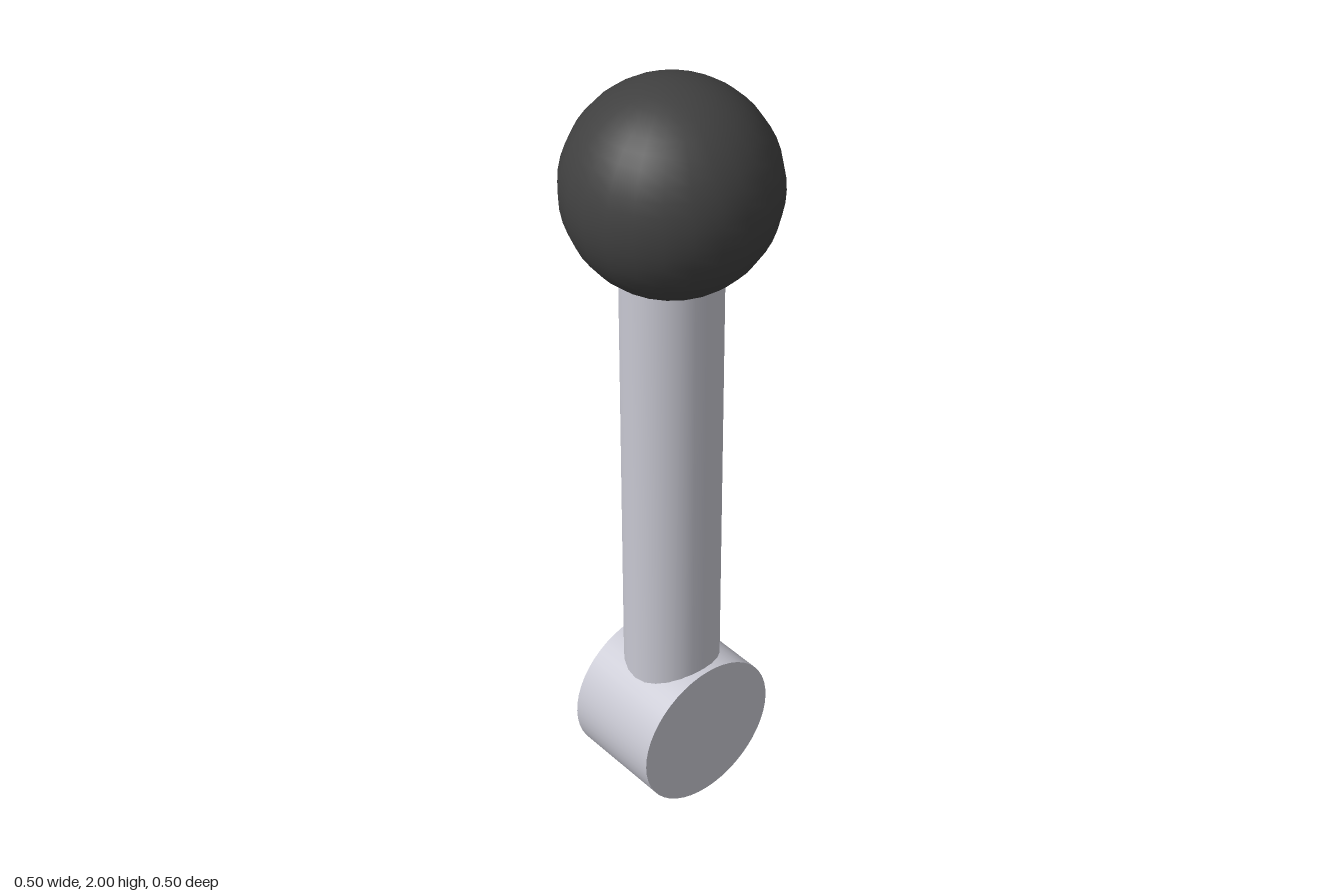
import * as THREE from 'three';

export function createModel() {
  const group = new THREE.Group();
  const metal = new THREE.MeshStandardMaterial({ color: 0xc8c8d2 });
  const dark = new THREE.MeshStandardMaterial({ color: 0x404040 });

  const add = (name, geometry, material, y) => {
    const mesh = new THREE.Mesh(geometry, material);
    mesh.name = name;
    mesh.position.y = y;
    group.add(mesh);
    return mesh;
  };

  const hubRadius = 0.202, knobRadius = 0.252;
  const knobY = 2 - knobRadius;

  // Pivot hub: short cylinder lying along z
  add('pivotHub', new THREE.CylinderGeometry(hubRadius, hubRadius, 0.272, 48).rotateX(Math.PI / 2), metal, hubRadius);

  // Lever shaft, running from inside the hub to inside the knob
  add('leverShaft', new THREE.CylinderGeometry(0.121, 0.121, knobY - hubRadius, 24), metal, (knobY + hubRadius) / 2);

  // Ball knob
  add('ballKnob', new THREE.SphereGeometry(knobRadius, 24, 24), dark, knobY);

  return group;
}
